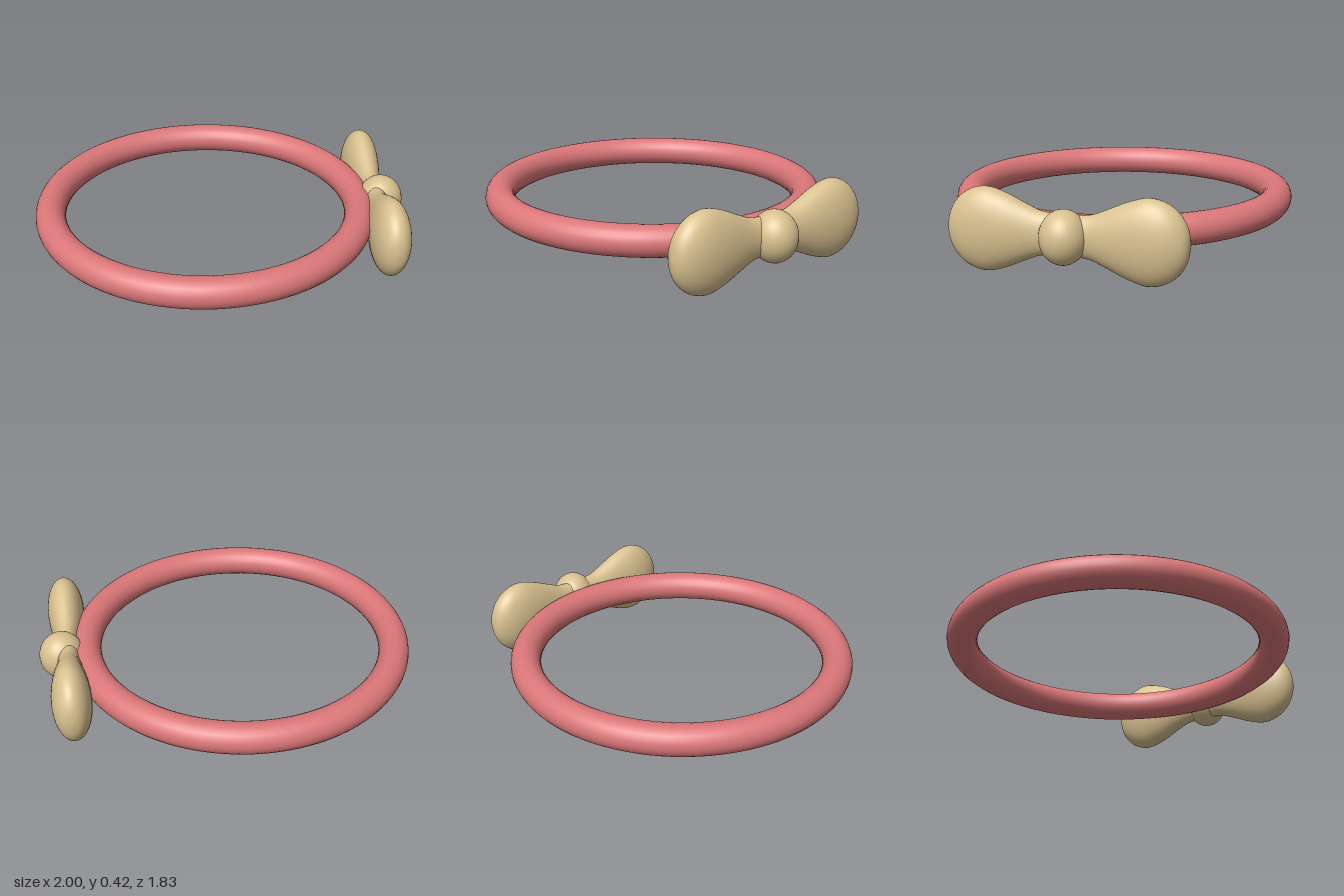
import * as THREE from 'three';
import { mergeVertices } from 'three/addons/utils/BufferGeometryUtils.js';

const CENTER_Y = 0.21;

// Half profile of the bow: distance along z, half height, half thickness
const LOBE = [
  [0, 0.1, 0.06], [0.12, 0.107, 0.064], [0.2, 0.138, 0.077], [0.3, 0.182, 0.094],
  [0.4, 0.208, 0.102], [0.48, 0.19, 0.096], [0.54, 0.147, 0.076], [0.58, 0.083, 0.045], [0.595, 0, 0],
];

// Lathe around z, then flattened in x by the thickness profile
function bowGeometry() {
  const half = LOBE.map(([z, h, t]) => new THREE.Vector3(h, z, t));
  const mirrored = half.slice(1).reverse().map((p) => new THREE.Vector3(p.x, -p.y, p.z));
  const profile = new THREE.CatmullRomCurve3([...mirrored, ...half]).getPoints(64);
  const lathe = new THREE.LatheGeometry(profile.map((p) => new THREE.Vector2(Math.max(p.x, 0), p.y)), 40);
  lathe.rotateX(Math.PI / 2);
  const pos = lathe.attributes.position;
  for (let i = 0; i < pos.count; i++) {
    const p = profile[i % profile.length];
    pos.setX(i, pos.getX(i) * (p.x > 1e-4 ? p.z / p.x : 0.5));
  }
  // Weld the seam so the shading stays smooth
  lathe.deleteAttribute('uv');
  lathe.deleteAttribute('normal');
  const welded = mergeVertices(lathe, 1e-5);
  welded.computeVertexNormals();
  return welded;
}

export function createModel() {
  const group = new THREE.Group();
  const pink = new THREE.MeshStandardMaterial({ name: 'rose pink', color: 0xdb7779 });
  const tan = new THREE.MeshStandardMaterial({ name: 'warm tan', color: 0xd9c190 });

  const add = (name, geometry, material, x) => {
    const mesh = new THREE.Mesh(geometry, material);
    mesh.name = name;
    mesh.position.set(x, CENTER_Y, 0);
    group.add(mesh);
    return mesh;
  };

  // Round band lying flat
  add('band', new THREE.TorusGeometry(0.835, 0.08, 24, 96).rotateX(Math.PI / 2), pink, -0.085);

  // Two bow loops joined by a narrow waist
  add('bowLoops', bowGeometry(), tan, 0.845);

  // Knot in the middle of the bow
  add('bowKnot', new THREE.SphereGeometry(1, 36, 24), tan, 0.88).scale.set(0.12, 0.132, 0.115);

  return group;
}
